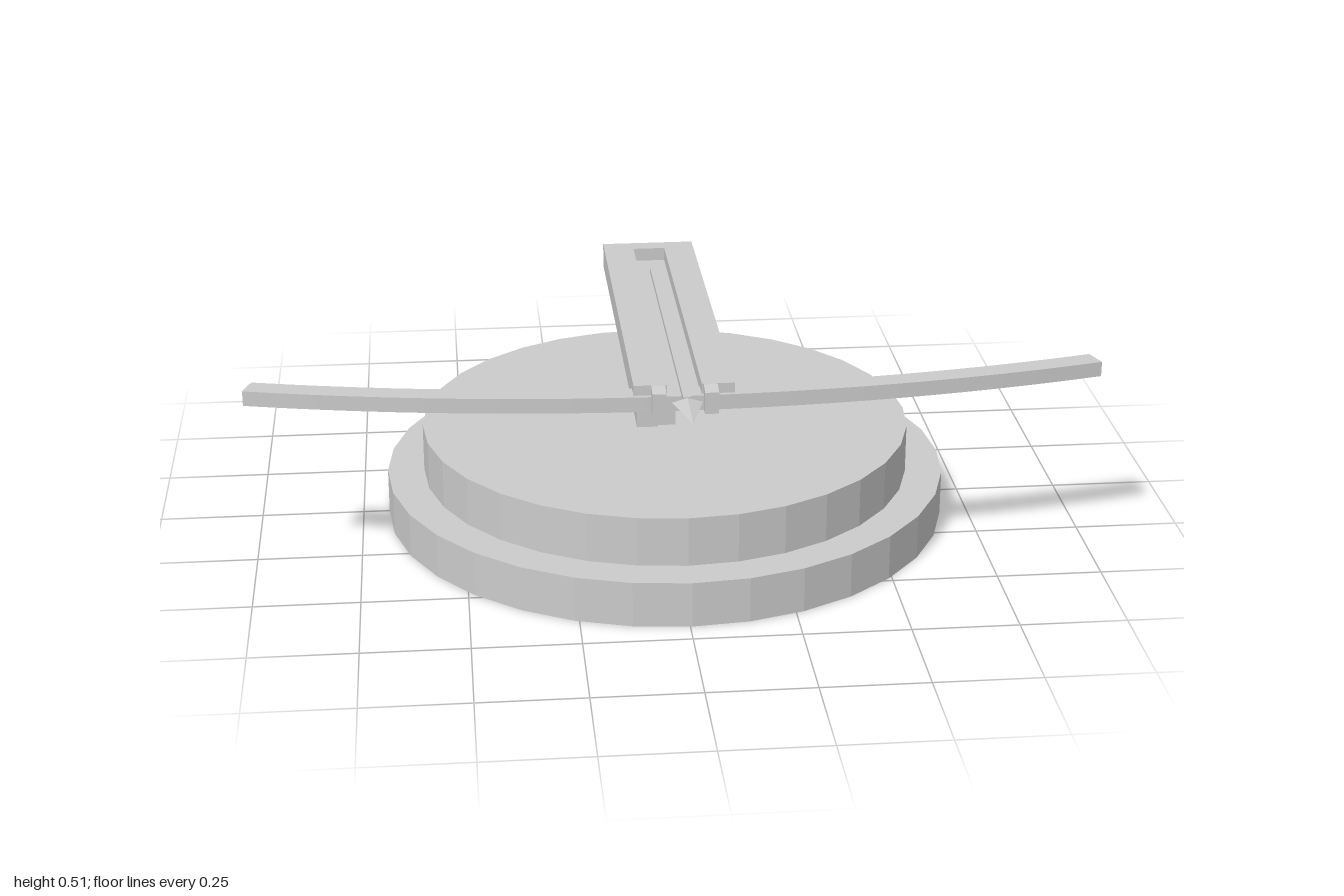
import * as THREE from 'three';

const CX = 0.004; // common centre line of base and stock
const material = new THREE.MeshStandardMaterial({ color: 0xcccccc, flatShading: true });

export function createModel() {
  const model = new THREE.Group();

  const add = (name, geometry, x = 0, y = 0, z = 0) => {
    const mesh = new THREE.Mesh(geometry, material);
    mesh.name = name;
    mesh.position.set(x, y, z);
    model.add(mesh);
    return mesh;
  };
  // box given by its min and max corners
  const box = (name, [x0, y0, z0], [x1, y1, z1]) =>
    add(name, new THREE.BoxGeometry(x1 - x0, y1 - y0, z1 - z0), (x0 + x1) / 2, (y0 + y1) / 2, (z0 + z1) / 2);
  // (z, y) profile extruded along x from x0 to x1
  const sideExtrude = (name, shape, x0, x1, curveSegments = 12) => {
    const g = new THREE.ExtrudeGeometry(shape, { depth: x1 - x0, bevelEnabled: false, curveSegments });
    g.rotateY(-Math.PI / 2); // shape x -> z, depth -> -x
    return add(name, g, x1, 0, 0);
  };

  // stepped round base
  add('baseLower', new THREE.CylinderGeometry(0.69, 0.69, 0.11, 32), CX, 0.055, 0);
  add('baseUpper', new THREE.CylinderGeometry(0.6, 0.6, 0.12, 32), CX, 0.17, 0);

  // pivot: round-topped bracket with a hole, post and pin
  const bracket = new THREE.Shape();
  bracket.moveTo(-0.064, 0.225);
  bracket.lineTo(0.064, 0.225);
  bracket.lineTo(0.064, 0.34);
  bracket.absarc(0, 0.34, 0.064, 0, Math.PI, false);
  bracket.lineTo(-0.064, 0.225);
  const hole = new THREE.Path();
  hole.absarc(0, 0.33, 0.036, 0, Math.PI * 2, true);
  bracket.holes.push(hole);
  sideExtrude('pivotBracket', bracket, -0.07, -0.018);
  box('pivotPost', [-0.018, 0.225, -0.055], [0.026, 0.46, 0.055]);
  const pin = add('pivotPin', new THREE.CylinderGeometry(0.035, 0.035, 0.145, 24), 0.0175, 0.33, 0);
  pin.rotation.z = Math.PI / 2;

  // stock: floor, two rails and a rear wall around the groove
  const bottom = 0.455, top = 0.515, back = -0.495, front = 0.49;
  box('stockFloor', [CX - 0.04, bottom, -0.45], [CX + 0.04, 0.482, front]);
  box('stockRear', [CX - 0.116, bottom, back], [CX + 0.116, top, -0.45]);
  const lug = new THREE.Shape([[0.485, bottom], [0.526, bottom], [0.526, 0.507], [0.495, top], [0.485, top]]
    .map(([z, y]) => new THREE.Vector2(z, y)));
  for (const s of [-1, 1]) {
    const edges = [CX + s * 0.04, CX + s * 0.116].sort((a, b) => a - b);
    box('stockRail', [edges[0], bottom, -0.45], [edges[1], top, front]);
    const mid = CX + s * 0.06;
    sideExtrude('stockLug', lug, mid - 0.016, mid + 0.016);
  }

  // bow limbs: one shallow arc of constant width, swept back at the tips
  const outerR = 4.23, innerR = 4.175, half = Math.asin(1 / outerR), steps = 24;
  const outline = [];
  for (let i = 0; i <= steps; i++) {
    const a = -half + (2 * half * i) / steps;
    outline.push(new THREE.Vector2(outerR * Math.sin(a), outerR * Math.cos(a)));
  }
  for (let i = steps; i >= 0; i--) {
    const a = (-half + (2 * half * i) / steps) * 0.995;
    outline.push(new THREE.Vector2(innerR * Math.sin(a), innerR * Math.cos(a)));
  }
  const bow = new THREE.ExtrudeGeometry(new THREE.Shape(outline), { depth: 0.036, bevelEnabled: false });
  bow.rotateX(Math.PI / 2); // shape y -> z, depth -> -y
  add('bow', bow, 0, 0.491, 0.502 - outerR);

  // arrow lying in the groove, with a flat diamond head
  box('arrowShaft', [CX - 0.008, 0.495, -0.32], [CX + 0.008, 0.508, 0.55]);
  const head = new THREE.LatheGeometry([[0, 0], [0.035, 0.025], [0, 0.15]]
    .map(([r, y]) => new THREE.Vector2(r, y)), 4);
  head.rotateX(Math.PI / 2);
  head.scale(1, 0.3, 1);
  add('arrowHead', head, CX, 0.502, 0.54);

  return model;
}
